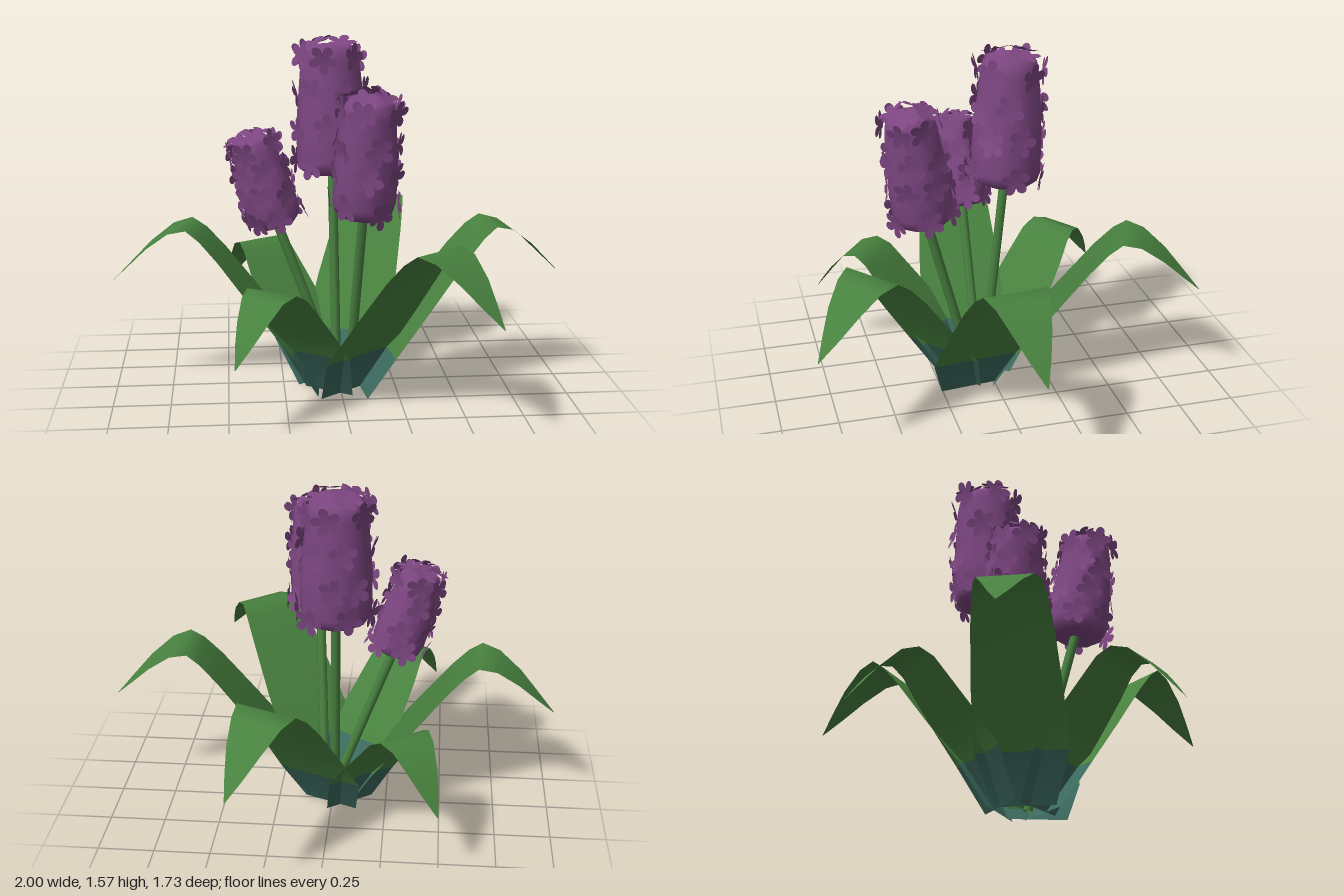
import * as THREE from 'three';

const mat = (name, color, side = THREE.DoubleSide) => {
  const m = new THREE.MeshStandardMaterial({ color, side });
  m.name = name;
  return m;
};

// Leaf cross-sections: [distance from the middle, height, width]
const TALL = [[0.09, 0, 0.26], [0.2, 0.2, 0.4], [0.36, 0.41, 0.38], [0.52, 0.62, 0.34], [0.6, 0.71, 0.31],
  [0.66, 0.755, 0.28], [0.74, 0.735, 0.235], [0.84, 0.66, 0.165], [0.92, 0.58, 0.09], [1, 0.5, 0.004]];
const SHORT = [[0.09, 0, 0.24], [0.2, 0.2, 0.34], [0.31, 0.33, 0.33], [0.42, 0.455, 0.3], [0.49, 0.54, 0.27],
  [0.55, 0.575, 0.24], [0.62, 0.555, 0.2], [0.7, 0.475, 0.14], [0.76, 0.4, 0.08], [0.82, 0.32, 0.004]];

// Leaves: [tip x, tip z, direction in degrees from +x towards +z, profile]
const LEAVES = [
  [1.0, 0.03, -6, TALL], [0.58, 0.86, 51, TALL], [0.36, -0.87, -67, TALL],
  [-1.0, 0.0, 185, TALL], [-0.49, -0.63, 236, SHORT], [-0.47, 0.73, 125, SHORT],
];

// Flower heads: stem foot, head bottom, head top, lower and upper radius
const FLOWERS = [
  { foot: [-0.01, 0.02, 0.03], low: [-0.02, 0.955, -0.075], top: [-0.03, 1.525, -0.1], r0: 0.157, r1: 0.13 },
  { foot: [0.04, 0.02, 0.085], low: [0.08, 0.845, 0.31], top: [0.1, 1.345, 0.375], r0: 0.135, r1: 0.112 },
  { foot: [0.0, 0.02, 0.05], low: [-0.275, 0.755, 0.06], top: [-0.39, 1.14, 0.065], r0: 0.118, r1: 0.095 },
];

// Thin ribbon swept along the profile, with the pale base as its own group
function leafGeometry([tipX, tipZ, degrees, profile]) {
  const a = THREE.MathUtils.degToRad(degrees);
  const dx = Math.cos(a), dz = Math.sin(a);
  const reach = profile[profile.length - 1][0];
  const pos = [], index = [];
  profile.forEach(([r, y, w], i) => {
    const cx = tipX + dx * (r - reach), cz = tipZ + dz * (r - reach);
    for (const s of [-0.5, 0.5]) pos.push(cx - dz * w * s, y, cz + dx * w * s);
    if (i > 0) {
      const k = 2 * i;
      index.push(k - 2, k - 1, k, k - 1, k + 1, k);
    }
  });
  const g = new THREE.BufferGeometry();
  g.setAttribute('position', new THREE.Float32BufferAttribute(pos, 3));
  g.setIndex(index);
  g.addGroup(0, 6, 0);
  g.addGroup(6, index.length - 6, 1);
  g.computeVertexNormals();
  return g;
}

// Flat five-petalled floret with slightly raised petals
function floretGeometry(R) {
  const pts = [];
  for (let i = 0; i < 50; i++) {
    const t = (i / 50) * Math.PI * 2;
    const r = R * (0.4 + 0.6 * Math.pow(Math.abs(Math.cos(2.5 * t)), 0.7));
    pts.push(new THREE.Vector2(Math.cos(t) * r, Math.sin(t) * r));
  }
  const g = new THREE.ShapeGeometry(new THREE.Shape(pts));
  const p = g.attributes.position;
  for (let i = 0; i < p.count; i++) p.setZ(i, 0.12 * Math.hypot(p.getX(i), p.getY(i)));
  g.computeVertexNormals();
  return g;
}

// Small seeded number source for the scattered florets
function seeded(seed) {
  return () => (seed = (seed * 16807) % 2147483647) / 2147483647;
}

const UP = new THREE.Vector3(0, 1, 0);
const FORWARD = new THREE.Vector3(0, 0, 1);

function makeFlower(f, n, green, purple) {
  const group = new THREE.Group();
  group.name = 'flower' + n;
  const foot = new THREE.Vector3(...f.foot);
  const low = new THREE.Vector3(...f.low);
  const top = new THREE.Vector3(...f.top);

  // Stem
  const path = new THREE.LineCurve3(foot, low.clone().lerp(top, 0.1));
  const stem = new THREE.Mesh(new THREE.TubeGeometry(path, 1, 0.021, 8), green);
  stem.name = 'stem';
  group.add(stem);

  // Rounded, tapering body
  const head = new THREE.Group();
  head.name = 'flowerHead';
  head.position.copy(low);
  const axis = top.clone().sub(low);
  const h = axis.length();
  head.quaternion.setFromUnitVectors(UP, axis.normalize());
  const { r0, r1 } = f;
  const outline = [[0, 0], [r0 * 0.72, 0], [r0 * 0.92, 0.02], [r0, 0.06], [r0 * 0.99, h * 0.4],
    [r1, h - 0.07], [r1 * 0.92, h - 0.025], [r1 * 0.7, h], [0, h]].map(([x, y]) => new THREE.Vector2(x, y));
  const body = new THREE.Mesh(new THREE.LatheGeometry(outline, 12), purple);
  body.name = 'flowerBody';
  head.add(body);

  // Florets in staggered rings, then a few on the crown
  const rnd = seeded(1234 + n * 77);
  const geo = floretGeometry(0.04 + r0 * 0.17);
  const addFloret = (x, y, z, normal) => {
    const m = new THREE.Mesh(geo, purple);
    m.name = 'floret';
    m.position.set(x, y, z);
    normal.x += (rnd() - 0.5) * 0.4;
    normal.y += (rnd() - 0.5) * 0.5;
    normal.z += (rnd() - 0.5) * 0.4;
    m.quaternion.setFromUnitVectors(FORWARD, normal.normalize());
    m.rotateZ(rnd() * 6.28);
    head.add(m);
  };
  for (let ring = 0; ring < 4; ring++) {
    for (let i = 0; i < 6; i++) {
      const a = ((i + ring * 0.5 + rnd() * 0.4) / 6) * Math.PI * 2;
      const t = 0.1 + ring * 0.265 + (rnd() - 0.5) * 0.07;
      const r = r0 + (r1 - r0) * t + 0.009;
      addFloret(Math.cos(a) * r, t * h, Math.sin(a) * r, new THREE.Vector3(Math.cos(a), 0, Math.sin(a)));
    }
  }
  for (let i = 0; i < 4; i++) {
    const a = (i / 4) * Math.PI * 2 + n;
    addFloret(Math.cos(a) * r1 * 0.65, h + 0.008, Math.sin(a) * r1 * 0.65,
      new THREE.Vector3(Math.cos(a) * 0.4, 1, Math.sin(a) * 0.4));
  }
  group.add(head);
  return group;
}

export function createModel() {
  const green = mat('leaf green', 0x48813f);
  const teal = mat('leaf base teal', 0x3c6a5f);
  const purple = mat('petal purple', 0x7d4682);

  const plant = new THREE.Group();
  plant.name = 'floweringPlant';
  LEAVES.forEach((leaf, i) => {
    const m = new THREE.Mesh(leafGeometry(leaf), [teal, green]);
    m.name = 'leaf' + (i + 1);
    plant.add(m);
  });
  FLOWERS.forEach((f, i) => plant.add(makeFlower(f, i + 1, green, purple)));
  return plant;
}
